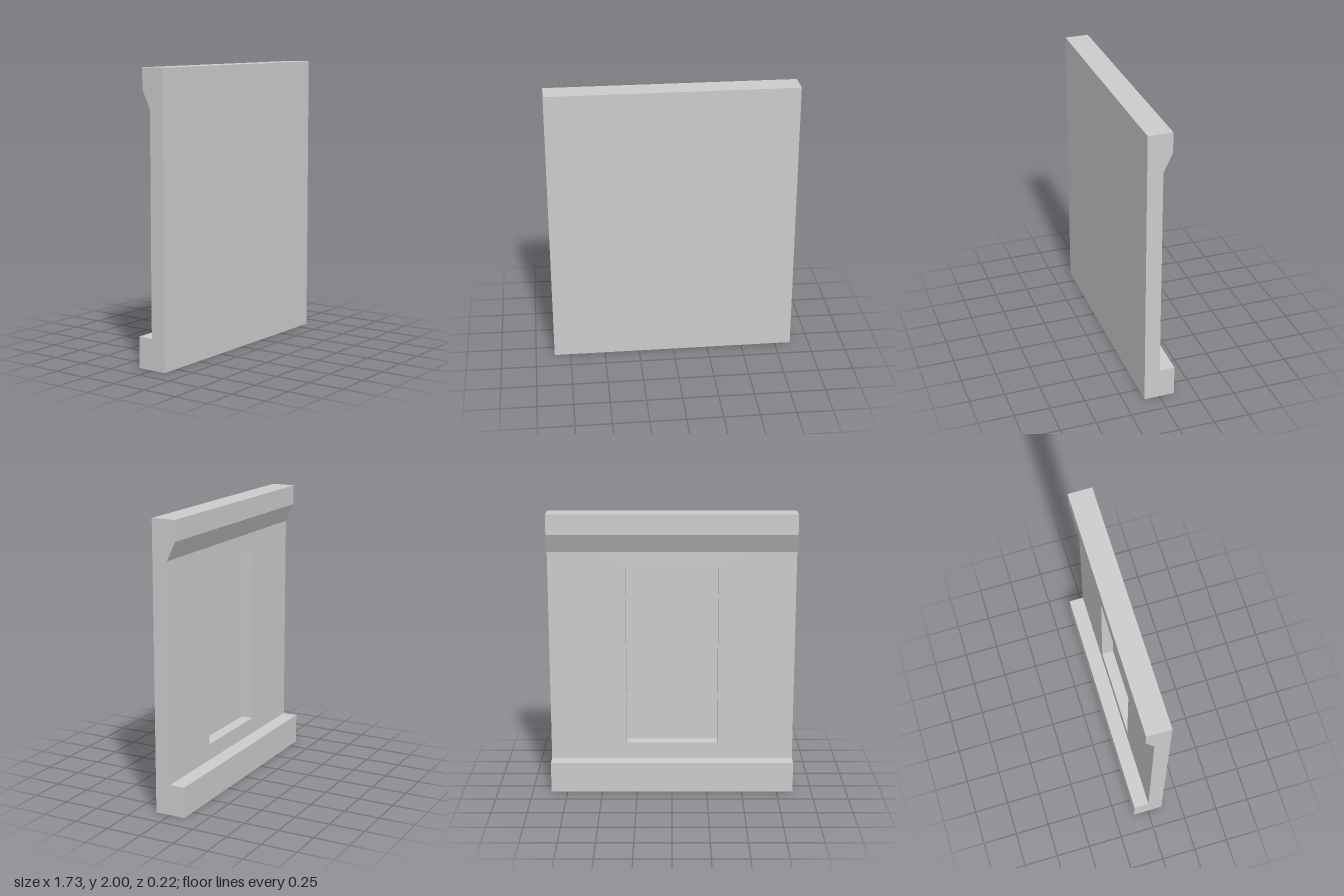
import * as THREE from 'three';

const HALF_W = 0.866, HEIGHT = 2, FRONT = 0.108;
const OPENING = { half: 0.326, bottom: 0.333, top: 1.617, floor: 0.086 };

const material = new THREE.MeshStandardMaterial({ color: 0xcccccc, flatShading: true });

function addPart(group, name, geometry) {
  const mesh = new THREE.Mesh(geometry, material);
  mesh.name = name;
  group.add(mesh);
}

function rectangle(PathType, half, bottom, top) {
  return new PathType([[-half, bottom], [half, bottom], [half, top], [-half, top]]
    .map(([x, y]) => new THREE.Vector2(x, y)));
}

// Runs a (z, y) profile across the full width of the wall
function moulding(points) {
  const shape = new THREE.Shape(points.map(([z, y]) => new THREE.Vector2(z, y)));
  const geometry = new THREE.ExtrudeGeometry(shape, { depth: 2 * HALF_W, bevelEnabled: false });
  return geometry.rotateY(-Math.PI / 2).translate(HALF_W, 0, 0);
}

export function createModel() {
  const group = new THREE.Group();
  group.name = 'wallPanel';

  // Flat wall with a rectangular opening
  const wall = rectangle(THREE.Shape, HALF_W, 0, HEIGHT);
  wall.holes.push(rectangle(THREE.Path, OPENING.half, OPENING.bottom, OPENING.top));
  addPart(group, 'wall', new THREE.ExtrudeGeometry(wall, { depth: FRONT, bevelEnabled: false }));

  // Thin panel closing the opening flush with the front, leaving a recess behind
  const panel = rectangle(THREE.Shape, OPENING.half, OPENING.bottom, OPENING.top);
  const panelGeometry = new THREE.ExtrudeGeometry(panel, { depth: FRONT - OPENING.floor, bevelEnabled: false });
  addPart(group, 'recessPanel', panelGeometry.translate(0, 0, OPENING.floor));

  // Square plinth and chamfered cornice along the back
  addPart(group, 'plinth', moulding([[-0.108, 0], [0, 0], [0, 0.216], [-0.108, 0.216]]));
  addPart(group, 'cornice', moulding([[0, 1.73], [0, HEIGHT], [-0.061, HEIGHT], [-0.061, 1.86]]));

  return group;
}
